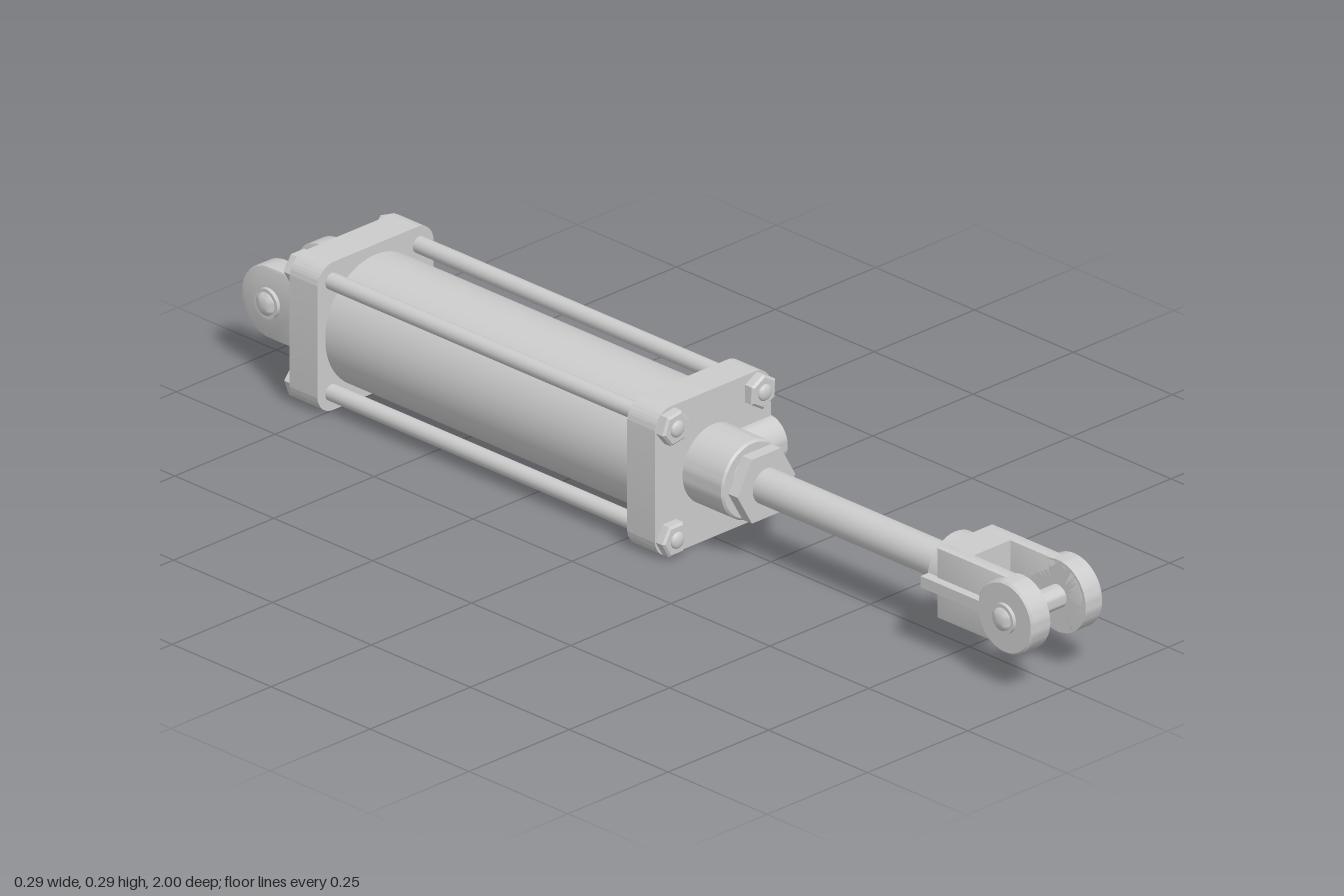
import * as THREE from 'three';
import { toCreasedNormals } from 'three/addons/utils/BufferGeometryUtils.js';

const mat = new THREE.MeshStandardMaterial({ color: 0xcccccc });

function add(parent, name, geo, x = 0, y = 0, z = 0) {
  const m = new THREE.Mesh(geo, mat);
  m.name = name;
  m.position.set(x, y, z);
  parent.add(m);
  return m;
}

// Cylinder along z from z0 to z1
function barZ(r, z0, z1, sides = 48, r1 = r) {
  return new THREE.CylinderGeometry(r1, r, z1 - z0, sides).rotateX(Math.PI / 2).translate(0, 0, (z0 + z1) / 2);
}

// Lathe profile of [radius, height] with crisp edges, turned about y
function turned(points, sides = 40) {
  const g = new THREE.LatheGeometry(points.map(p => new THREE.Vector2(...p)), sides);
  return toCreasedNormals(g, 0.6);
}

function extrude(shape, depth, bevel = 0) {
  const g = new THREE.ExtrudeGeometry(shape, {
    depth: depth - 2 * bevel, curveSegments: 24, bevelEnabled: bevel > 0,
    bevelSize: bevel, bevelOffset: -bevel, bevelThickness: bevel, bevelSegments: 2,
  });
  return toCreasedNormals(g.translate(0, 0, bevel), 0.6);
}

// Square end plate, optionally notched at the +x side for the port
function plateShape(notched) {
  const h = 0.145, r = 0.04, n = 0.025, s = new THREE.Shape();
  s.moveTo(-h + r, -h);
  s.lineTo(h - r, -h);
  s.absarc(h - r, -h + r, r, -Math.PI / 2, 0);
  if (notched) {
    s.lineTo(h, -n);
    s.lineTo(0.09, -n);
    s.lineTo(0.09, n);
    s.lineTo(h, n);
  }
  s.absarc(h - r, h - r, r, 0, Math.PI / 2);
  s.absarc(-h + r, h - r, r, Math.PI / 2, Math.PI);
  s.absarc(-h + r, -h + r, r, Math.PI, Math.PI * 1.5);
  return s;
}

// Round-ended lug in the yz plane, thickness along x, centred on x
function lug(z0, zc, r, thick) {
  const s = new THREE.Shape();
  s.moveTo(z0, -r);
  s.lineTo(zc, -r);
  s.absarc(zc, 0, r, -Math.PI / 2, Math.PI / 2);
  s.lineTo(z0, r);
  return extrude(s, thick, 0.004).translate(0, 0, -thick / 2).rotateY(-Math.PI / 2);
}

// Plate with port and four nuts; inner face at z = 0, facing +z
function createHead(name) {
  const head = new THREE.Group();
  head.name = name;
  add(head, 'plateBack', extrude(plateShape(false), 0.03));
  add(head, 'plateFront', extrude(plateShape(true), 0.04), 0, 0, 0.03);
  const port = turned([[0, 0.09], [0.02, 0.09], [0.02, 0.143], [0.023, 0.146], [0.046, 0.146], [0.046, 0.03]].reverse());
  add(head, 'port', port.rotateZ(-Math.PI / 2), 0, 0, 0.065);
  [[-1, 1], [1, 1], [-1, -1], [1, -1]].forEach(([sx, sy], i) => {
    const nut = new THREE.Group();
    nut.name = 'tieRodNut';
    nut.position.set(sx * 0.109, sy * 0.109, 0.07);
    nut.rotation.z = [0.15, 0.5, 0, 0.2][i];
    const hex = barZ(0.034, 0, 0.016, 6).toNonIndexed();
    hex.computeVertexNormals();
    add(nut, 'nutBody', hex.rotateZ(Math.PI / 2));
    const rim = barZ(0.034, 0.016, 0.02, 6, 0.029).toNonIndexed();
    rim.computeVertexNormals();
    add(nut, 'nutChamfer', rim.rotateZ(Math.PI / 2));
    const dome = new THREE.SphereGeometry(0.016, 24, 8, 0, Math.PI * 2, 0, Math.PI / 2);
    add(nut, 'rodTip', dome.scale(1, 0.5, 1).rotateX(Math.PI / 2), 0, 0, 0.02);
    head.add(nut);
  });
  return head;
}

// Cross pin with retaining rings, along x
function createPin(z) {
  const pin = new THREE.Group();
  pin.name = 'crossPin';
  const shaft = turned([[0, -0.106], [0.015, -0.104], [0.022, -0.098], [0.022, 0.098], [0.015, 0.104], [0, 0.106]]);
  add(pin, 'pinShaft', shaft.rotateZ(-Math.PI / 2));
  for (const s of [-1, 1]) {
    const ring = new THREE.CylinderGeometry(0.029, 0.029, 0.008, 32).rotateZ(Math.PI / 2);
    add(pin, 'retainingRing', ring, s * 0.092);
  }
  pin.position.z = z;
  return pin;
}

export function createModel() {
  const model = new THREE.Group();
  model.name = 'hydraulicCylinder';
  const body = new THREE.Group();
  body.name = 'body';
  body.position.y = 0.145;
  model.add(body);

  // Barrel and tie rods
  add(body, 'barrel', barZ(0.125, -0.76, 0.04, 96));
  for (const sx of [-1, 1]) for (const sy of [-1, 1]) {
    add(body, 'tieRod', barZ(0.016, -0.76, 0.04, 24), sx * 0.109, sy * 0.109);
  }

  // Front head with gland, hex collar and piston rod
  const front = createHead('frontHead');
  front.position.z = 0.033;
  body.add(front);
  const gland = turned([[0.076, 0.09], [0.076, 0.2], [0.072, 0.204], [0.055, 0.204], [0.055, 0.22]], 64);
  add(body, 'gland', gland.rotateX(Math.PI / 2));
  const collar = barZ(0.072, 0.214, 0.238, 6).toNonIndexed();
  collar.computeVertexNormals();
  add(body, 'hexCollar', collar.rotateZ(Math.PI / 2));
  add(body, 'pistonRod', barZ(0.034, 0.2, 0.75));

  // Rear head, turned to face backwards, with mounting lugs
  const rear = new THREE.Group();
  rear.name = 'rearEnd';
  rear.rotation.x = Math.PI;
  body.add(rear);
  const rearHead = createHead('rearHead');
  rearHead.position.z = 0.75;
  rear.add(rearHead);
  for (const s of [-1, 1]) add(rear, 'rearLug', lug(0.81, 0.93, 0.07, 0.045), s * 0.066);
  rear.add(createPin(0.93));

  // Rod clevis: collar, bridge, arms, round eyes and side ribs
  const clevis = new THREE.Group();
  clevis.name = 'rodClevis';
  body.add(clevis);
  add(clevis, 'clevisCollar', barZ(0.069, 0.715, 0.75));
  add(clevis, 'clevisBridge', new THREE.BoxGeometry(0.1, 0.138, 0.07), 0, 0, 0.775);
  for (const s of [-1, 1]) {
    add(clevis, 'clevisArm', lug(0.74, 0.93, 0.069, 0.027), s * 0.0575);
    const eye = turned([[0, 0], [0.07, 0], [0.07, 0.041], [0.066, 0.045], [0, 0.045]], 64);
    add(clevis, 'clevisEye', eye.rotateZ(-s * Math.PI / 2), s * 0.044, 0, 0.93);
    add(clevis, 'sideRib', new THREE.BoxGeometry(0.022, 0.022, 0.19), s * 0.077, 0, 0.812);
  }
  clevis.add(createPin(0.93));
  return model;
}
